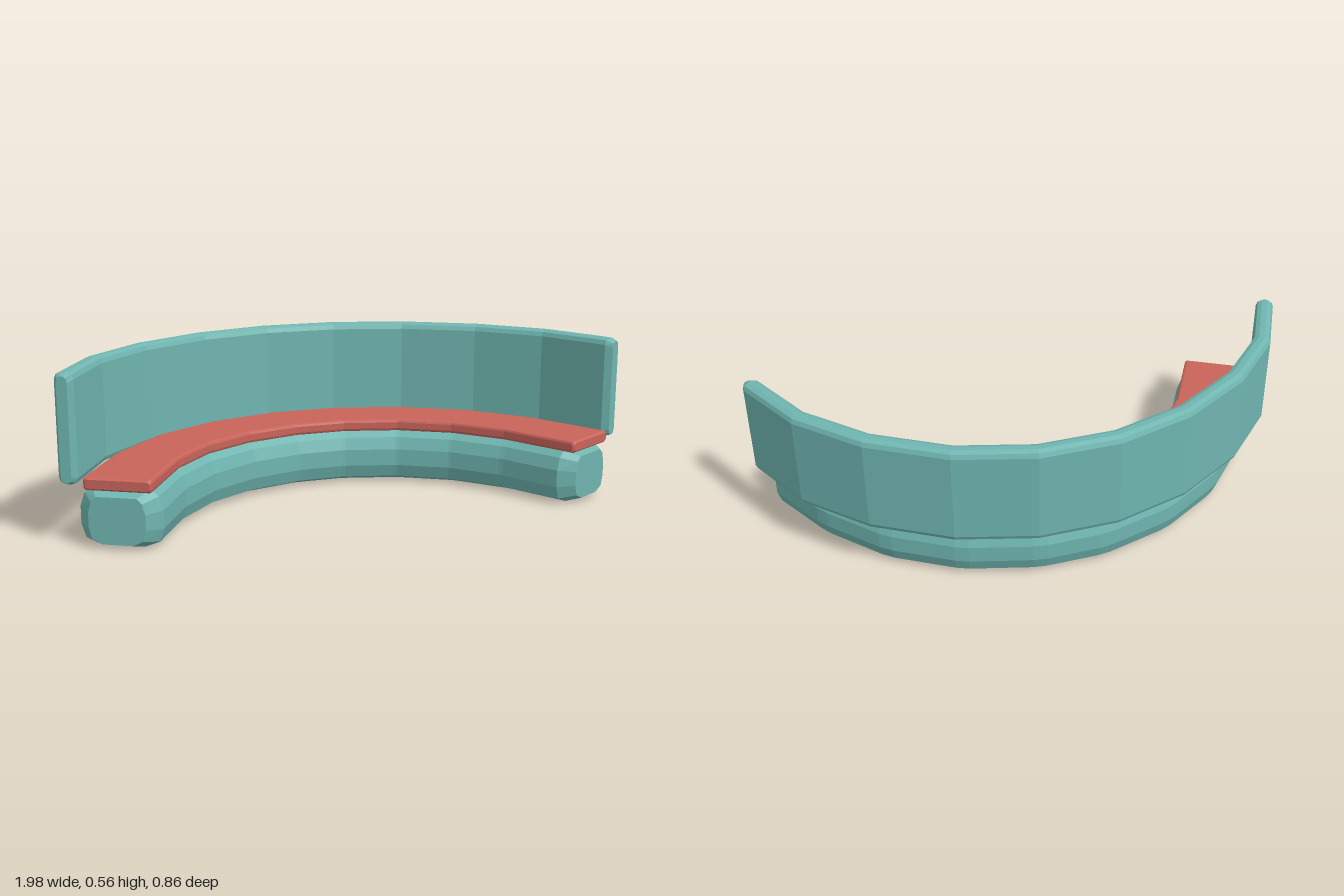
import * as THREE from 'three';

const teal = new THREE.MeshStandardMaterial({ color: 0x6fb5b0 });
teal.name = 'teal upholstery';
const coral = new THREE.MeshStandardMaterial({ color: 0xc9645a });
coral.name = 'coral seat';

// Mirrors the right half of an arc (x, z pairs from the middle outwards) to a full path
function mirrorPath(half) {
  const right = half.map(([x, z]) => new THREE.Vector2(x, z));
  return [...right.map(p => new THREE.Vector2(-p.x, p.y)).reverse(), ...right];
}

// Replaces each inner corner of a path by two points, for softened joints
function softenCorners(path, d) {
  const out = [path[0]];
  for (let i = 1; i < path.length - 1; i++) {
    for (const q of [path[i - 1], path[i + 1]]) {
      out.push(path[i].clone().add(q.clone().sub(path[i]).setLength(d)));
    }
  }
  out.push(path[path.length - 1]);
  return out;
}

// Cross-section (u inwards, y up) with bevelled corners, as (u, y) pairs
function bevelled(w, y0, y1, b) {
  const k = b * 0.3;
  return [[b, y0], [w - b, y0], [w - k, y0 + k], [w, y0 + b], [w, y1 - b], [w - k, y1 - k],
    [w - b, y1], [b, y1], [k, y1 - k], [0, y1 - b], [0, y0 + b], [k, y0 + k]];
}

// Sweeps a section along a path with mitred joints and tapered ends
function sweep(name, path, section, cap, material) {
  const n = section.length, last = path.length - 1;
  const us = section.map(s => s[0]), ys = section.map(s => s[1]);
  const uMid = (Math.min(...us) + Math.max(...us)) / 2, yMid = (Math.min(...ys) + Math.max(...ys)) / 2;
  const dir = i => path[i + 1].clone().sub(path[i]).normalize();
  const rings = [];
  const addRing = (p, m, su, sy) => rings.push(section.map(([u, y]) => {
    const v = uMid + (u - uMid) * su;
    return [p.x + m.x * v, yMid + (y - yMid) * sy, p.y + m.y * v];
  }));
  path.forEach((p, i) => {
    const t0 = dir(Math.max(i - 1, 0)), t1 = dir(Math.min(i, last - 1));
    const t = t0.clone().add(t1).normalize();
    const inward = new THREE.Vector2(-t.y, t.x).divideScalar(t.dot(t1));
    const tip = s => addRing(p.clone().addScaledVector(t, s * cap.length), inward, cap.su, cap.sy);
    if (i === 0) tip(-1);
    addRing(p, inward, 1, 1);
    if (i === last) tip(1);
  });
  const pos = [];
  const tri = (a, b, c) => pos.push(...a, ...b, ...c);
  for (let i = 0; i < rings.length - 1; i++) {
    for (let j = 0; j < n; j++) {
      const k = (j + 1) % n, A = rings[i], B = rings[i + 1];
      tri(A[j], B[j], B[k]);
      tri(A[j], B[k], A[k]);
    }
  }
  const first = rings[0], end = rings[rings.length - 1];
  for (let j = 1; j < n - 1; j++) {
    tri(first[0], first[j], first[j + 1]);
    tri(end[0], end[j + 1], end[j]);
  }
  const geo = new THREE.BufferGeometry();
  geo.setAttribute('position', new THREE.Float32BufferAttribute(pos, 3));
  geo.computeVertexNormals();
  const mesh = new THREE.Mesh(geo, material);
  mesh.name = name;
  return mesh;
}

export function createModel() {
  const group = new THREE.Group();
  group.name = 'curvedBench';

  // Plump base, with softened joints between its segments
  const basePath = softenCorners(mirrorPath(
    [[0.12, -0.375], [0.38, -0.305], [0.615, -0.165], [0.8, 0.035], [0.93, 0.265]]), 0.025);
  const baseSection = [[0.065, 0], [0.21, 0], [0.26, 0.02], [0.275, 0.065], [0.275, 0.125],
    [0.26, 0.168], [0.235, 0.188], [0.04, 0.188], [0.015, 0.168], [0, 0.125], [0, 0.065], [0.015, 0.02]];
  group.add(sweep('base', basePath, baseSection, { length: 0.05, su: 0.68, sy: 0.82 }, teal));

  // Thin seat pad
  const seatPath = mirrorPath(
    [[0.12, -0.345], [0.37, -0.278], [0.595, -0.145], [0.775, 0.05], [0.925, 0.318]]);
  group.add(sweep('seat', seatPath, bevelled(0.224, 0.19, 0.232, 0.01),
    { length: 0.008, su: 0.94, sy: 0.7 }, coral));

  // Tall curved backrest
  const backPath = mirrorPath(
    [[0.14, -0.425], [0.41, -0.35], [0.665, -0.2], [0.862, 0.0], [0.99, 0.245]]);
  group.add(sweep('backrest', backPath, bevelled(0.064, 0.195, 0.555, 0.022),
    { length: 0.024, su: 0.55, sy: 0.95 }, teal));

  return group;
}
